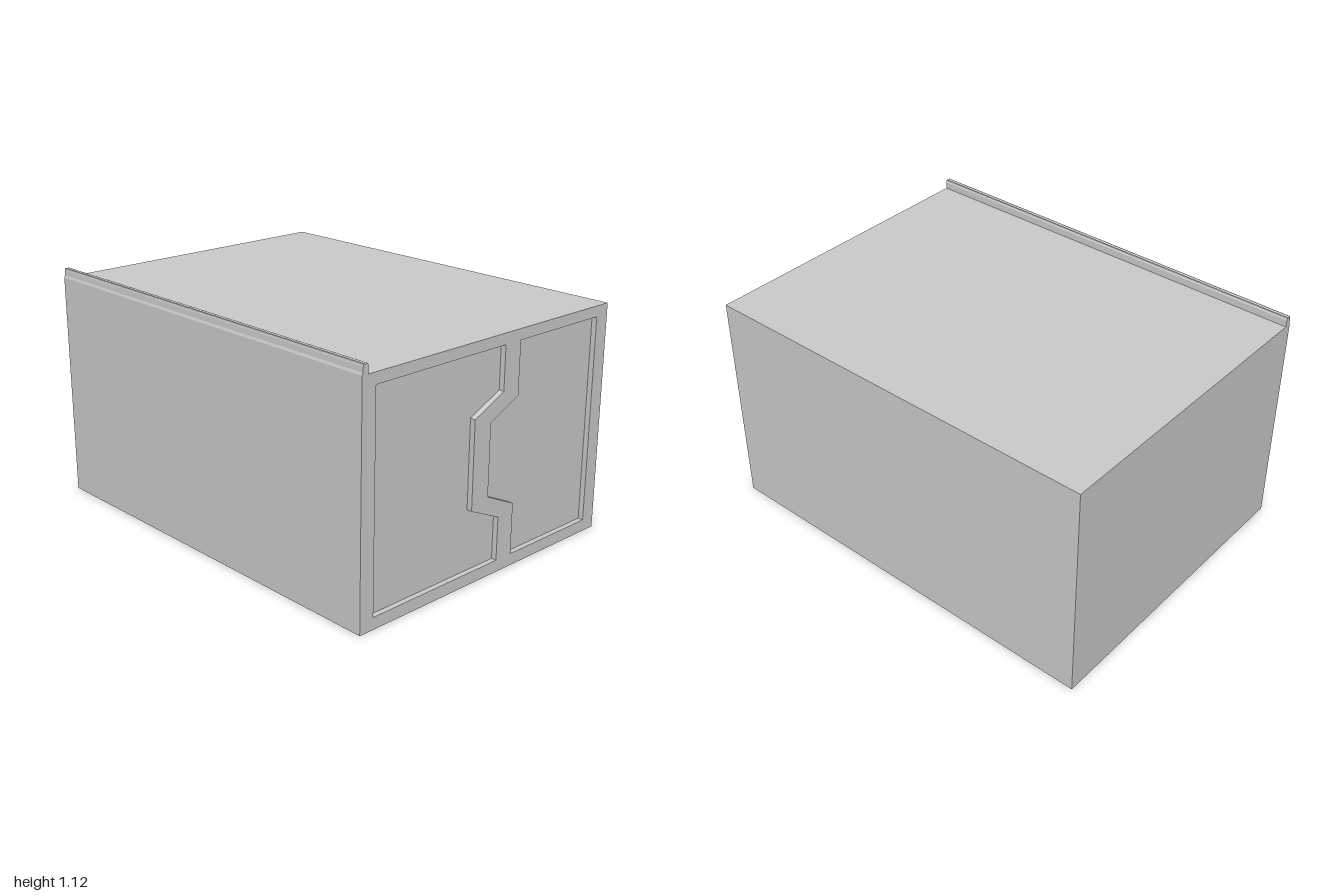
import * as THREE from 'three';

const W = 0.748, H = 1.07, RECESS = 0.025;

export function createModel() {
  const group = new THREE.Group();
  const material = new THREE.MeshStandardMaterial({ color: 0xcccccc, flatShading: true });

  // Points are [z, y]; the shape is drawn with -z to the right
  const toPoints = (list) => list.map(([z, y]) => new THREE.Vector2(-z, y));

  // Extrude a z-y shape along x, from x0 to x1
  const alongX = (shape, x0, x1) =>
    new THREE.ExtrudeGeometry(shape, { depth: x1 - x0, bevelEnabled: false })
      .translate(0, 0, x0)
      .rotateY(Math.PI / 2);

  const add = (name, geometry) => {
    const mesh = new THREE.Mesh(geometry, material);
    mesh.name = name;
    group.add(mesh);
  };

  // Main block, whose +x face is the floor of the recesses
  const block = new THREE.BoxGeometry(2 - RECESS, H, 2 * W);
  add('block', block.translate(-RECESS / 2, H / 2, 0));

  // Side frame with two interlocking recessed panels
  const frame = new THREE.Shape(toPoints([[W, 0], [-W, 0], [-W, H], [W, H]]));
  const frontPanel = [
    [0.675, 1.02], [-0.065, 1.02], [-0.065, 0.82], [0.108, 0.74],
    [0.108, 0.335], [-0.065, 0.257], [-0.065, 0.055], [0.675, 0.055],
  ];
  const backPanel = [
    [-0.16, 1.02], [-0.675, 1.02], [-0.675, 0.055], [-0.16, 0.055],
    [-0.16, 0.293], [0.008, 0.372], [0.008, 0.702], [-0.16, 0.78],
  ];
  for (const panel of [frontPanel, backPanel]) frame.holes.push(new THREE.Path(toPoints(panel)));
  add('sideFrame', alongX(frame, 1 - RECESS, 1));

  // Grooved rail along the top front edge
  const rail = new THREE.Shape(toPoints([
    [W, H], [0.715, H], [0.715, 1.103], [0.719, 1.113], [0.724, 1.115],
    [0.73, 1.11], [0.736, 1.115], [0.741, 1.113], [0.743, 1.103], [0.744, 1.08],
  ]));
  add('topRail', alongX(rail, -1, 1));

  return group;
}
